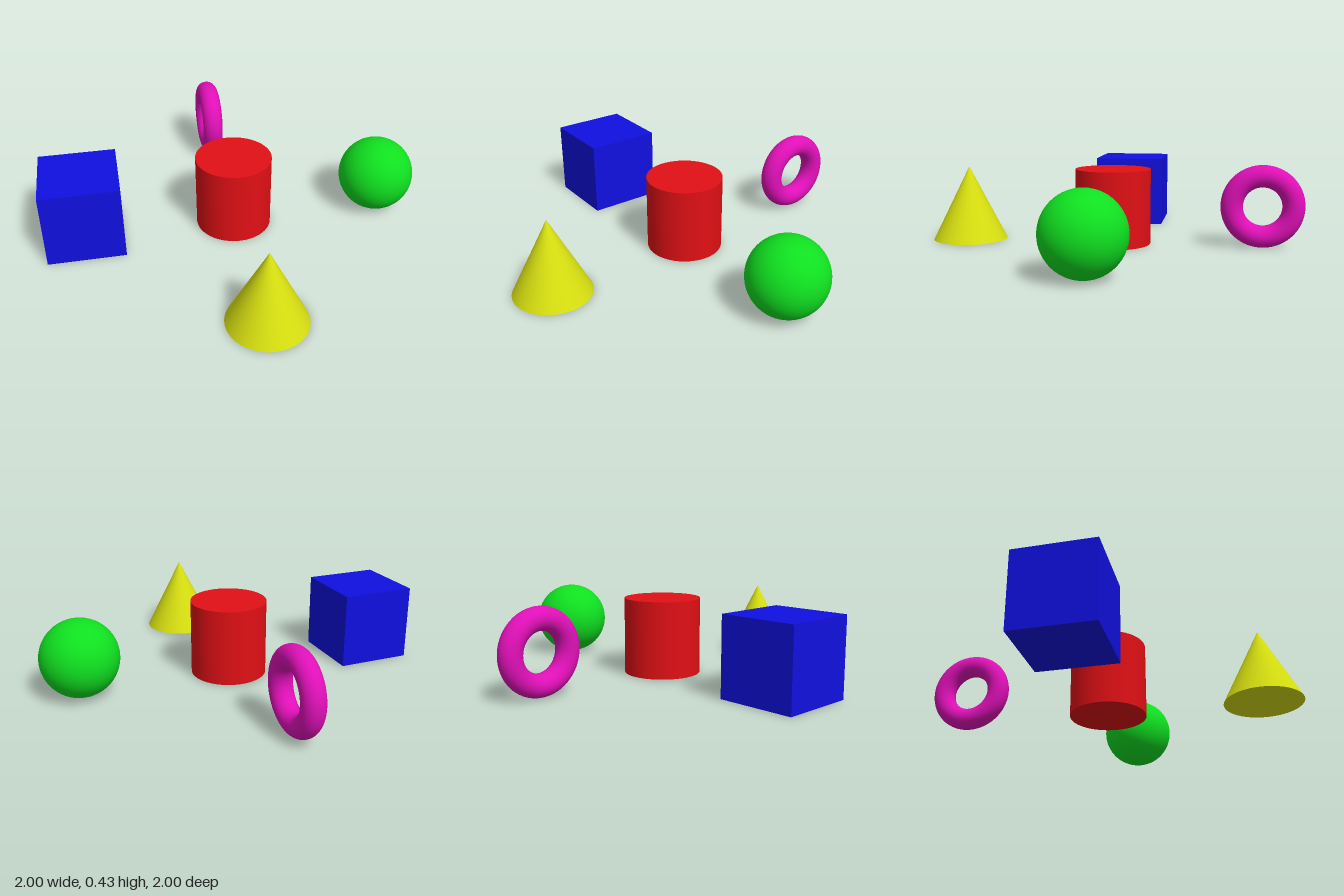
import * as THREE from 'three';

export function createModel() {
  const model = new THREE.Group();

  function add(name, geometry, color, x, y, z) {
    const mesh = new THREE.Mesh(geometry, new THREE.MeshStandardMaterial({ color }));
    mesh.name = name;
    mesh.position.set(x, y, z);
    model.add(mesh);
    return mesh;
  }

  // Red cylinder in the middle, the other solids around it
  add('cylinder', new THREE.CylinderGeometry(0.2, 0.2, 0.4, 64), 0xe01015, 0, 0.2, 0);
  add('cube', new THREE.BoxGeometry(0.4, 0.4, 0.4), 0x1010e0, -0.8, 0.2, 0);
  add('sphere', new THREE.SphereGeometry(0.2, 64, 32), 0x10e020, 0.8, 0.2, 0);
  add('cone', new THREE.ConeGeometry(0.2, 0.4, 64, 8), 0xd8e010, 0, 0.2, 0.8);

  // Ring standing upright, its axis along x
  const ring = add('ring', new THREE.TorusGeometry(0.158, 0.058, 32, 96), 0xe010b8, 0, 0.216, -0.784);
  ring.rotation.y = Math.PI / 2;

  return model;
}
